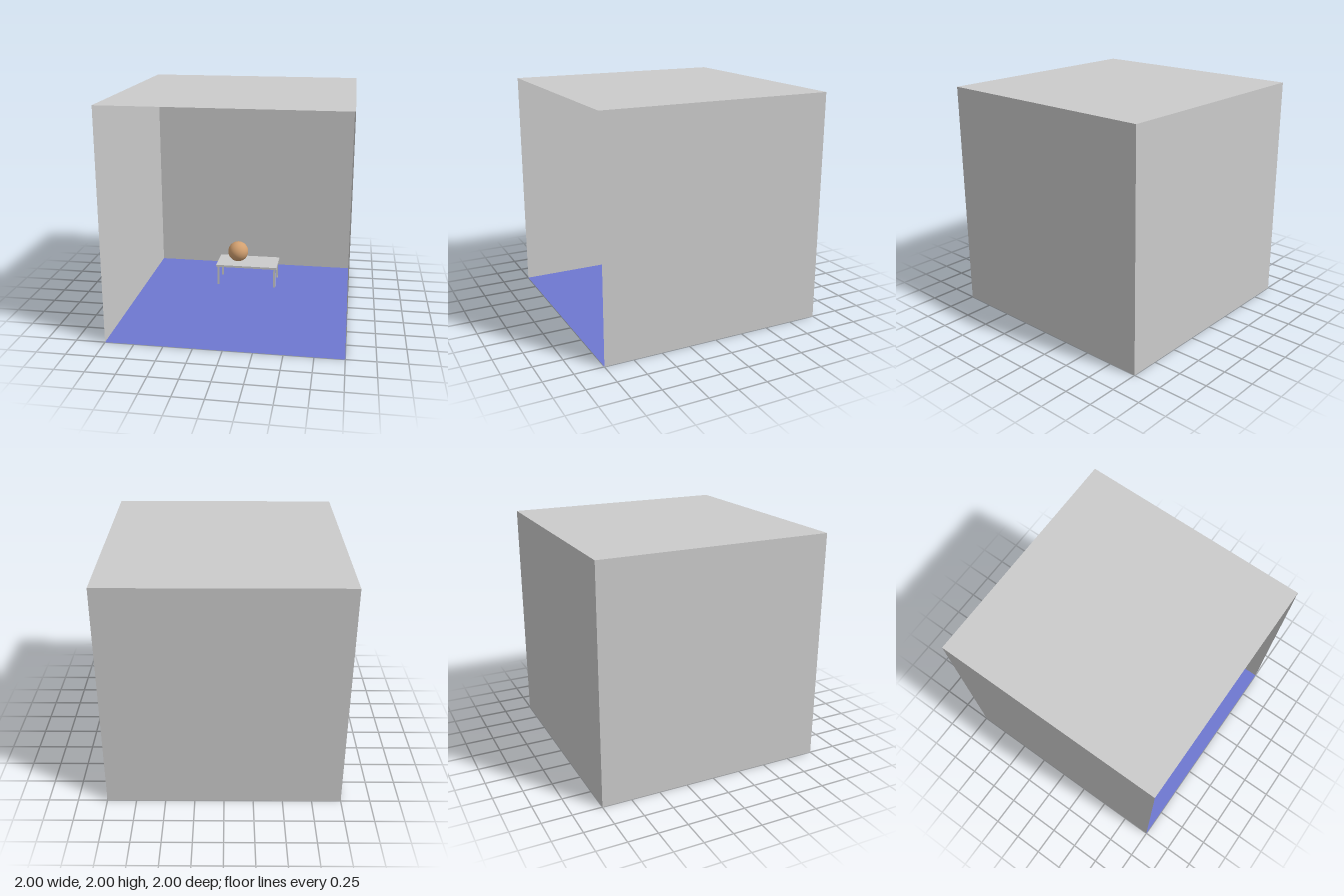
import * as THREE from 'three';

export function createModel() {
  const model = new THREE.Group();
  const grey = new THREE.MeshStandardMaterial({ color: 0xcccccc });
  const wallGrey = new THREE.MeshStandardMaterial({ color: 0xcccccc, side: THREE.DoubleSide });
  const blue = new THREE.MeshStandardMaterial({ color: 0x6e78d1, side: THREE.DoubleSide });
  const tan = new THREE.MeshStandardMaterial({ color: 0xd2a070 });

  const add = (parent, name, geometry, material, x, y, z) => {
    const mesh = new THREE.Mesh(geometry, material);
    mesh.name = name;
    mesh.position.set(x, y, z);
    parent.add(mesh);
    return mesh;
  };

  // Room shell, open at the front
  const room = new THREE.Group();
  room.name = 'room';
  model.add(room);
  const panel = new THREE.PlaneGeometry(2, 2);
  add(room, 'floor', panel, blue, 0, 0, 0).rotation.x = -Math.PI / 2;
  add(room, 'ceiling', panel, wallGrey, 0, 2, 0).rotation.x = Math.PI / 2;
  add(room, 'backWall', panel, wallGrey, 0, 1, -1);
  add(room, 'leftWall', panel, wallGrey, 1, 1, 0).rotation.y = -Math.PI / 2;
  add(room, 'rightWall', panel, wallGrey, -1, 1, 0).rotation.y = Math.PI / 2;

  // Table with four slim legs
  const table = new THREE.Group();
  table.name = 'table';
  table.position.z = -0.51;
  model.add(table);
  add(table, 'tableTop', new THREE.BoxGeometry(0.6, 0.02, 0.3), grey, 0, 0.2, 0);
  const leg = new THREE.BoxGeometry(0.02, 0.19, 0.02);
  for (const x of [-0.28, 0.28]) {
    for (const z of [-0.13, 0.13]) {
      add(table, 'tableLeg', leg, grey, x, 0.095, z);
    }
  }

  // Ball resting on the table
  add(model, 'ball', new THREE.SphereGeometry(0.1, 32, 24), tan, -0.1, 0.31, -0.51);

  return model;
}
